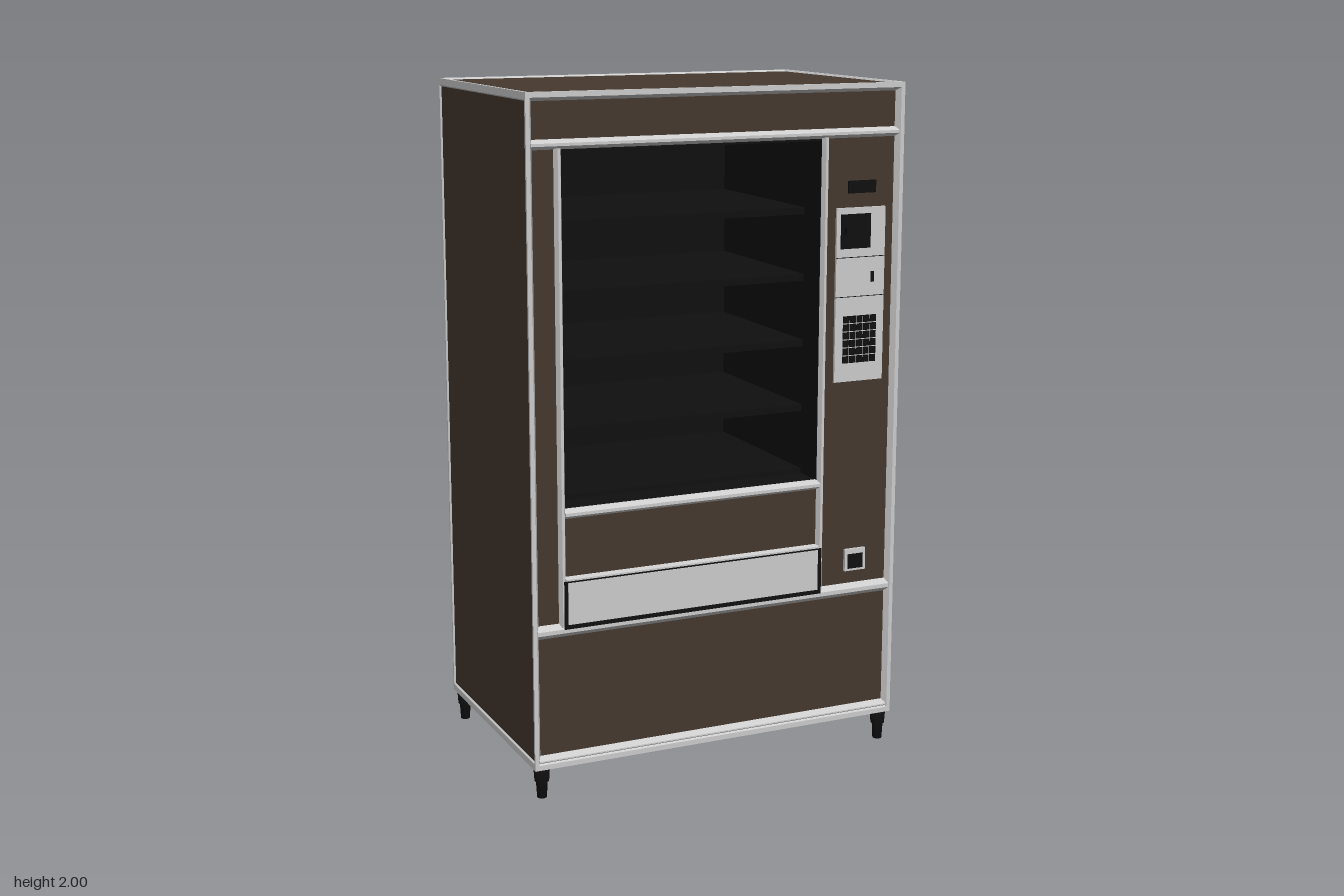
import * as THREE from 'three';

const grey = new THREE.MeshStandardMaterial({ color: 0xcccccc });
const brown = new THREE.MeshStandardMaterial({ color: 0x45382f });
const black = new THREE.MeshStandardMaterial({ color: 0x0f0f0f });

// Cabinet limits
const X = 0.58, Y0 = 0.09, Y1 = 2, ZF = 0.363, ZB = -0.37;
const FACE = 0.345; // plane of the recessed front panels

export function createModel() {
  const model = new THREE.Group();

  function add(name, geometry, material, parent = model) {
    const mesh = new THREE.Mesh(geometry, material);
    mesh.name = name;
    parent.add(mesh);
    return mesh;
  }

  // Box given by its limits
  function box(name, x0, x1, y0, y1, z0, z1, material, parent) {
    const g = new THREE.BoxGeometry(x1 - x0, y1 - y0, z1 - z0);
    g.translate((x0 + x1) / 2, (y0 + y1) / 2, (z0 + z1) / 2);
    return add(name, g, material, parent);
  }

  // Skin through successive rectangles [x0, x1, y0, y1, z], optionally capped
  function loft(loops, cap) {
    const rings = loops.map(([a, b, c, d, z]) => [[a, c, z], [b, c, z], [b, d, z], [a, d, z]]);
    const pos = [];
    const quad = (a, b, c, d) => pos.push(...a, ...b, ...c, ...a, ...c, ...d);
    for (let r = 0; r < rings.length - 1; r++) {
      for (let i = 0; i < 4; i++) {
        const j = (i + 1) % 4;
        quad(rings[r][i], rings[r][j], rings[r + 1][j], rings[r + 1][i]);
      }
    }
    if (cap) quad(...rings[rings.length - 1]);
    const g = new THREE.BufferGeometry();
    g.setAttribute('position', new THREE.Float32BufferAttribute(pos, 3));
    g.computeVertexNormals();
    return g;
  }

  // Flat border whose inner edge slopes down to a recessed panel
  function frame(name, w, h, tx, ty, bevel, depth) {
    const rect = (ix, iy, z) => [-w / 2 + ix, w / 2 - ix, -h / 2 + iy, h / 2 - iy, z];
    return add(name, loft([rect(0, 0, 0), rect(tx, ty, 0), rect(tx + bevel, ty + bevel, -depth)]), grey);
  }

  // Raised trim strip with sloped edges
  function trim(name, x0, x1, y0, y1, bx, by) {
    return add(name, loft([
      [x0, x1, y0, y1, FACE - 0.005], [x0, x1, y0, y1, FACE],
      [x0 + bx, x1 - bx, y0 + by, y1 - by, ZF - 0.002],
    ], true), grey);
  }

  // Cabinet body with the window opening, then back and floor plates
  const inset = 0.005, win = { x0: -0.48, x1: 0.325, y0: 0.84, y1: 1.845 };
  const rectPath = (Type, x0, x1, y0, y1) => new Type([
    new THREE.Vector2(x0, y0), new THREE.Vector2(x1, y0),
    new THREE.Vector2(x1, y1), new THREE.Vector2(x0, y1),
  ]);
  const section = rectPath(THREE.Shape, -X + inset, X - inset, Y0 + inset, Y1 - inset);
  section.holes.push(rectPath(THREE.Path, win.x0, win.x1, win.y0, win.y1));
  const shell = new THREE.ExtrudeGeometry(section, { depth: FACE - ZB - 0.01, bevelEnabled: false });
  shell.translate(0, 0, ZB + 0.01);
  add('cabinetBody', shell, brown);
  box('backPlate', -X, X, Y0, Y1, ZB, ZB + 0.006, grey);
  box('floorPlate', -X, X, Y0, Y0 + 0.006, ZB, ZF, grey);

  // Bevelled borders on front, sides and top
  const height = Y1 - Y0, depth = ZF - ZB, midY = (Y0 + Y1) / 2, midZ = (ZF + ZB) / 2;
  frame('frontFrame', 2 * X, height, 0.012, 0.015, 0.01, ZF - FACE).position.set(0, midY, ZF);
  for (const s of [-1, 1]) {
    const side = frame(s < 0 ? 'rightSideFrame' : 'leftSideFrame', depth, height, 0.008, 0.02, 0.004, inset);
    side.position.set(s * X, midY, midZ);
    side.rotation.y = s * Math.PI / 2;
  }
  const top = frame('topFrame', 2 * X, depth, 0.01, 0.008, 0.004, inset);
  top.position.set(0, Y1, midZ);
  top.rotation.x = -Math.PI / 2;

  // Dark lining of the display compartment
  const cb = -0.28, t = 0.006, zl = FACE + 0.001;
  box('compartmentBack', win.x0, win.x1, win.y0, win.y1, cb - t, cb, black);
  box('compartmentRightWall', win.x0, win.x0 + t, win.y0, win.y1, cb, zl, black);
  box('compartmentLeftWall', win.x1 - t, win.x1, win.y0, win.y1, cb, zl, black);
  box('compartmentFloor', win.x0, win.x1, win.y0, win.y0 + t, cb, zl, black);
  box('compartmentCeiling', win.x0, win.x1, win.y1 - t, win.y1, cb, zl, black);

  // Shelves set back from the opening
  for (let i = 0; i < 5; i++) {
    const y = 1.64 - i * 0.195;
    box('shelf', win.x0, win.x1, y - 0.02, y, cb, 0.25, black);
  }

  // Trim strips dividing the front
  trim('topTrim', -0.565, 0.565, 1.845, 1.873, 0, 0.01);
  trim('middleTrim', -0.565, 0.565, 0.475, 0.515, 0, 0.014);
  trim('bottomTrim', -0.565, 0.565, 0.1, 0.128, 0, 0.012);
  trim('windowRightTrim', -0.496, -0.474, 0.505, 1.848, 0.007, 0);
  trim('windowLeftTrim', 0.32, 0.342, 0.505, 1.848, 0.007, 0);
  trim('windowSill', -0.478, 0.325, 0.818, 0.847, 0, 0.01);
  trim('deliveryTopTrim', -0.478, 0.325, 0.634, 0.65, 0, 0.005);

  // Delivery flap in a dark surround
  box('deliverySurround', -0.485, 0.332, 0.5, 0.64, FACE - 0.01, ZF, black);
  box('deliveryFlap', -0.474, 0.32, 0.513, 0.636, FACE, ZF + 0.001, grey);

  // Control panel with bill reader, coin slot and keypad
  const controls = new THREE.Group();
  controls.name = 'controlPanel';
  model.add(controls);
  const pz = FACE + 0.008;
  box('displayScreen', 0.408, 0.498, 1.686, 1.722, FACE - 0.005, FACE + 0.006, black, controls);
  box('controlPlate', 0.37, 0.53, 1.135, 1.645, FACE - 0.005, pz, grey, controls);
  for (const y of [1.5, 1.385]) box('plateSeam', 0.37, 0.53, y, y + 0.002, pz - 0.002, pz + 0.0005, black, controls);
  box('billReader', 0.383, 0.48, 1.527, 1.627, pz - 0.004, pz + 0.004, black, controls);
  box('billReaderLip', 0.393, 0.47, 1.57, 1.59, pz, 0.37, black, controls);
  box('coinSlot', 0.484, 0.495, 1.426, 1.457, pz - 0.004, pz + 0.002, black, controls);
  const cols = 5, rows = 6, kw = 0.112 / cols, kh = 0.142 / rows;
  for (let c = 0; c < cols; c++) {
    for (let r = 0; r < rows; r++) {
      const x = 0.394 + c * kw, y = 1.189 + r * kh;
      box('key', x + 0.0015, x + kw - 0.0015, y + 0.0015, y + kh - 0.0015, pz - 0.002, pz + 0.003, black, controls);
    }
  }

  // Coin return cup
  box('coinReturn', 0.417, 0.486, 0.555, 0.622, FACE - 0.005, FACE + 0.01, grey, controls);
  box('coinReturnOpening', 0.426, 0.477, 0.562, 0.607, FACE, FACE + 0.0115, black, controls);

  // Tapered feet
  const foot = new THREE.LatheGeometry([
    [0, 0], [0.014, 0], [0.017, 0.05], [0.021, 0.05], [0.024, 0.092], [0, 0.092],
  ].map(([r, y]) => new THREE.Vector2(r, y)), 16);
  for (const x of [-0.552, 0.552]) {
    for (const z of [-0.342, 0.338]) add('foot', foot, black).position.set(x, 0, z);
  }

  return model;
}
